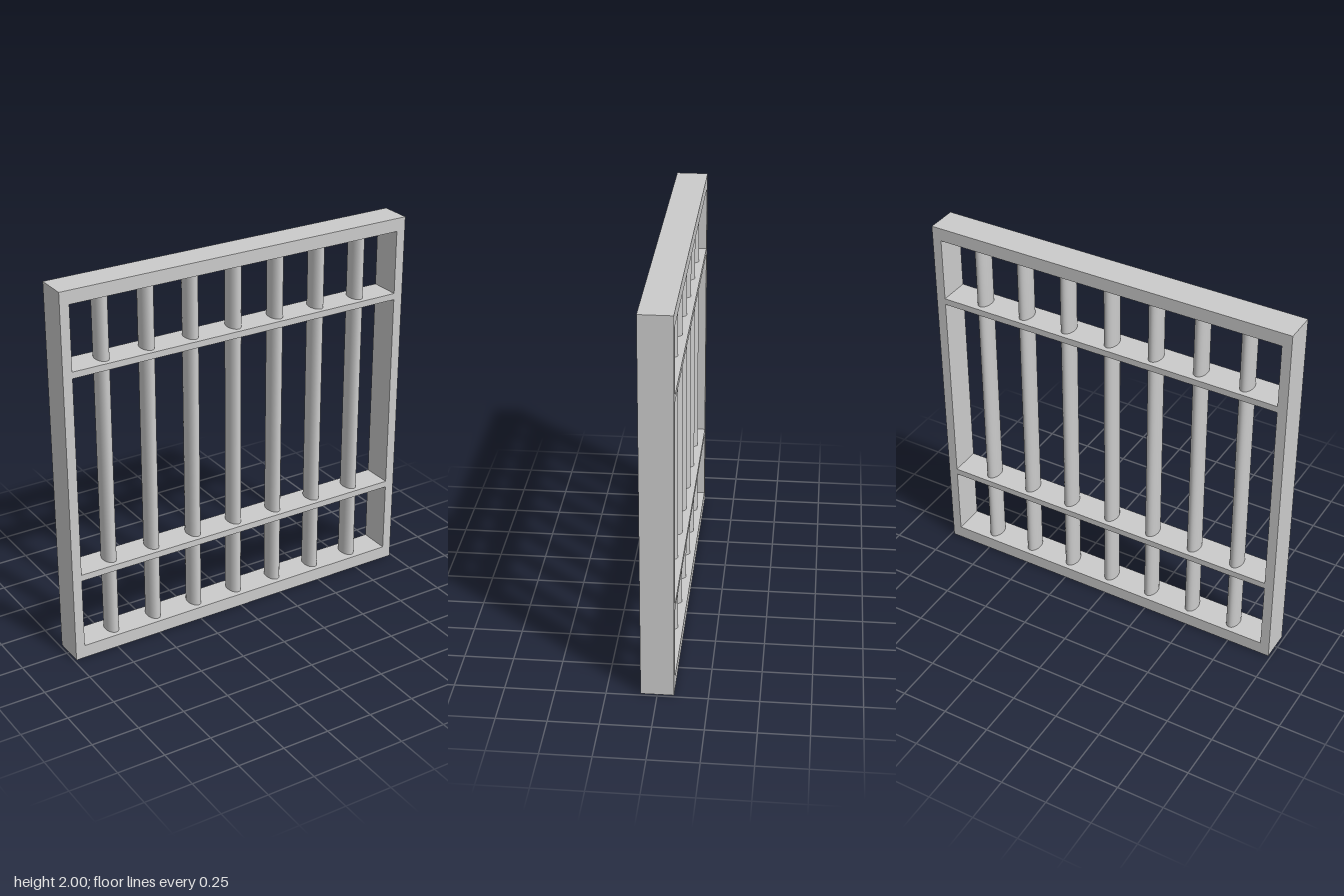
import * as THREE from 'three';

const W = 1.974, H = 2, D = 0.164; // overall size
const STILE = 0.05, RAIL = 0.07, CROSS = 0.034;

export function createModel() {
  const group = new THREE.Group();
  group.name = 'barredGate';
  const material = new THREE.MeshStandardMaterial({ color: 0xcccccc });

  const add = (name, geometry, x, y, z = 0) => {
    const mesh = new THREE.Mesh(geometry, material);
    mesh.name = name;
    mesh.position.set(x, y, z);
    group.add(mesh);
    return mesh;
  };

  // Outer frame: one rectangle with a rectangular opening
  const rect = (T, x, y0, y1) => new T([
    new THREE.Vector2(-x, y0), new THREE.Vector2(x, y0),
    new THREE.Vector2(x, y1), new THREE.Vector2(-x, y1),
  ]);
  const frame = rect(THREE.Shape, W / 2, 0, H);
  frame.holes.push(rect(THREE.Path, W / 2 - STILE, RAIL, H - RAIL));
  add('frame', new THREE.ExtrudeGeometry(frame, { depth: D, bevelEnabled: false }), 0, 0, -D / 2);

  // Two thin cross rails
  const railGeometry = new THREE.BoxGeometry(W - 2 * STILE, CROSS, D);
  add('lowerCrossRail', railGeometry, 0, 0.468);
  add('upperCrossRail', railGeometry, 0, 1.573);

  // Seven upright bars, oval in section and deeper than wide
  const barGeometry = new THREE.CylinderGeometry(1, 1, H - 2 * RAIL, 32, 1, true);
  barGeometry.scale(0.034, 1, 0.056);
  for (let i = -3; i <= 3; i++) add(`bar${i + 4}`, barGeometry, i * 0.247, H / 2);

  return group;
}
